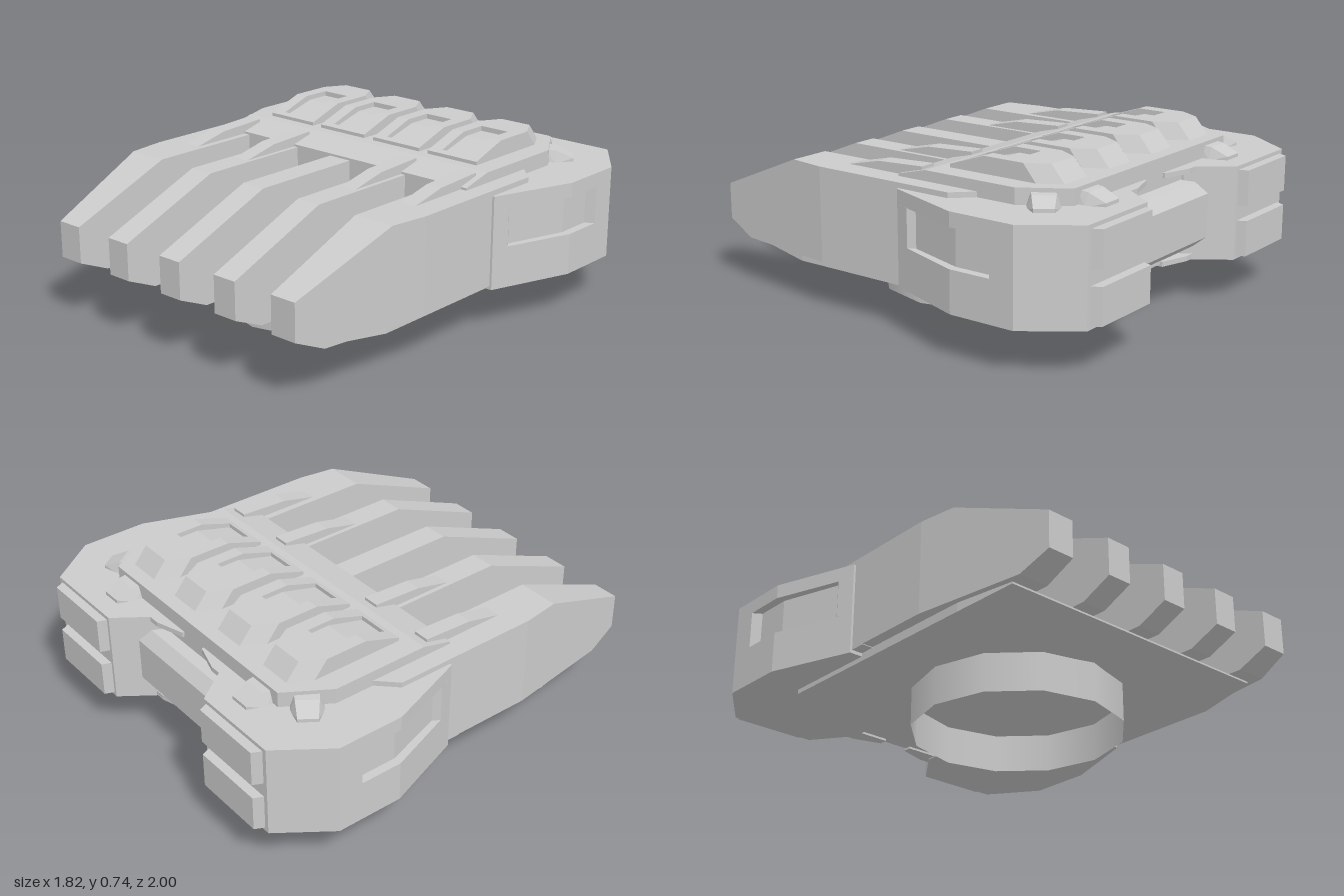
import * as THREE from 'three';
import { ConvexGeometry } from 'three/addons/geometries/ConvexGeometry.js';

const material = new THREE.MeshStandardMaterial({ color: 0xcccccc, flatShading: true });
const smooth = new THREE.MeshStandardMaterial({ color: 0xcccccc, side: THREE.DoubleSide });

export function createModel() {
  const model = new THREE.Group();

  function add(name, geometry, mat = material) {
    const mesh = new THREE.Mesh(geometry, mat);
    mesh.name = name;
    model.add(mesh);
    return mesh;
  }
  // Convex solid around [x, y, z] corners
  const hull = (points) => new ConvexGeometry(points.map((p) => new THREE.Vector3(...p)));
  // [z, y] side profile swept from x0 to x1
  const bar = (profile, x0, x1) => hull(profile.flatMap(([z, y]) => [[x0, y, z], [x1, y, z]]));
  // [x, z] plan outline raised from y0 to y1
  function slab(outline, y0, y1) {
    const shape = new THREE.Shape(outline.map(([x, z]) => new THREE.Vector2(x, -z)));
    const geometry = new THREE.ExtrudeGeometry(shape, { depth: y1 - y0, bevelEnabled: false });
    return geometry.rotateX(-Math.PI / 2).translate(0, y0, 0);
  }
  const mirrored = (outline, s) => outline.map(([x, z]) => [x * s, z]);
  const bothSides = (outline) => [...outline, ...mirrored(outline, -1).reverse()];

  // Open ring at the base
  const ring = new THREE.CylinderGeometry(0.462, 0.462, 0.175, 12, 1, true);
  add('baseRing', ring.translate(0, 0.0875, 0.09), smooth);

  // Underside plate, tapering upward at the front
  add('bottomPlate', hull([-1, 1].flatMap((s) => [
    [s * 0.68, 0.208, 0.8], [s * 0.68, 0.2, 0.8], [s * 0.72, 0.17, 0.53], [s * 0.72, 0.208, 0.53],
    [s * 0.72, 0.17, -0.52], [s * 0.72, 0.208, -0.52],
  ])));

  // Main body block
  add('body', slab(bothSides([[0.77, 0], [0.77, -0.32], [0.69, -0.4], [0.69, -0.58], [0.57, -0.77]]), 0.205, 0.62));

  // Front ribs
  const rib = [[1, 0.43], [1, 0.27], [0.86, 0.208], [0, 0.208], [0, 0.62], [0.53, 0.62]];
  for (const x of [-0.31, 0, 0.31]) add('innerRib', bar(rib, x - 0.057, x + 0.057));
  const outerX = (z) => 0.77 - 0.09 * Math.max(0, (z - 0.36) / 0.64);
  const outerProfile = [...rib, [0.36, 0.208], [0.36, 0.62]];
  for (const s of [-1, 1]) {
    add('outerRib', hull(outerProfile.flatMap(([z, y]) => [[s * 0.558, y, z], [s * outerX(z), y, z]])));
  }

  // Roof plate with a sloping front edge
  add('roofPlate', hull([-1, 1].flatMap((s) => [
    [s * 0.69, 0.615, 0], [s * 0.69, 0.63, 0], [s * 0.69, 0.665, -0.14],
    [s * 0.69, 0.665, -0.58], [s * 0.57, 0.665, -0.77],
    [s * 0.69, 0.615, -0.58], [s * 0.57, 0.615, -0.77],
  ])));

  // Wedges from the roof edge onto the ribs
  for (const x of [-0.625, -0.31, 0.31, 0.625]) {
    add('roofWedge', bar([[0.3, 0.618], [0.13, 0.657], [-0.1, 0.668], [-0.1, 0.618]], x - 0.037, x + 0.037));
  }

  // Four roof hatches, each a frame around a sunken window
  for (const x of [-0.465, -0.157, 0.157, 0.465]) {
    const rail = [[-0.19, 0.66], [-0.19, 0.68], [-0.36, 0.737], [-0.49, 0.737], [-0.49, 0.66]];
    for (const s of [-1, 1]) add('hatchRail', bar(rail, x + s * 0.07, x + s * 0.13));
    add('hatchFrontLip', bar([[-0.19, 0.66], [-0.19, 0.68], [-0.215, 0.688], [-0.215, 0.66]], x - 0.07, x + 0.07));
    add('hatchWindow', bar([[-0.21, 0.66], [-0.21, 0.668], [-0.385, 0.715], [-0.495, 0.715], [-0.495, 0.66]], x - 0.072, x + 0.072));
    add('hatchBack', hull([-1, 1].flatMap((s) => [
      [x + s * 0.13, 0.66, -0.49], [x + s * 0.13, 0.737, -0.49], [x + s * 0.13, 0.737, -0.55],
      [x + s * 0.13, 0.66, -0.615], [x + s * 0.075, 0.737, -0.645], [x + s * 0.075, 0.66, -0.71],
    ])));
  }

  // Rear bar between the pods
  add('rearBar', bar([[-0.76, 0.24], [-0.82, 0.25], [-0.865, 0.29], [-0.865, 0.48], [-0.82, 0.53], [-0.76, 0.54]], -0.3, 0.3));

  // Rear side pods
  const front = [[0.7, -0.07], [0.78, -0.07]];
  const back = [[0.91, -0.74], [0.75, -0.96], [0.35, -0.96], [0.22, -0.78], [0.22, -0.55]];
  const solid = [...front, [0.91, -0.44], ...back];
  const notched = [...front, [0.805, -0.14], [0.785, -0.17], [0.872, -0.44], [0.872, -0.605], [0.91, -0.63], ...back];
  const fin = [[0.35, -0.82], [0.2, -0.82], [0.07, -0.78], [0.07, -0.74], [0.35, -0.74]];
  for (const s of [-1, 1]) {
    add('podBottom', slab(mirrored(solid, s), 0.19, 0.37));
    add('podWindowBand', slab(mirrored(notched, s), 0.37, 0.535));
    add('podTop', slab(mirrored(solid, s), 0.535, 0.597));

    // Thin pointed fins reaching toward the middle
    add('upperFin', slab(mirrored(fin, s), 0.575, 0.597));
    add('lowerFin', slab(mirrored(fin, s), 0.195, 0.217));

    // Stacked rear thruster panels
    for (const y of [0.205, 0.425]) {
      add('rearPanel', hull([0, 0.155].flatMap((h) => [
        [s * 0.36, y + h, -0.95], [s * 0.735, y + h, -0.95], [s * 0.38, y + h, -1], [s * 0.71, y + h, -1],
      ])));
    }

    // Tapered knobs on the pod tops, one facing back and one facing outward
    for (const [x, z, turn, w] of [[0.465, -0.77, 0, 0.075], [0.63, -0.675, 0.95, 0.068]]) {
      const knob = add('podKnob', hull([-1, 1].flatMap((k) => [
        [k * w, 0.59, 0.02], [k * w * 0.75, 0.65, 0.02], [k * w * 0.7, 0.645, -0.03],
        [k * w, 0.59, -0.03], [k * w * 0.6, 0.59, -0.105], [k * w * 0.6, 0.612, -0.105],
      ])));
      knob.position.set(s * x, 0, z);
      knob.rotation.y = -s * turn;
    }
  }
  return model;
}
